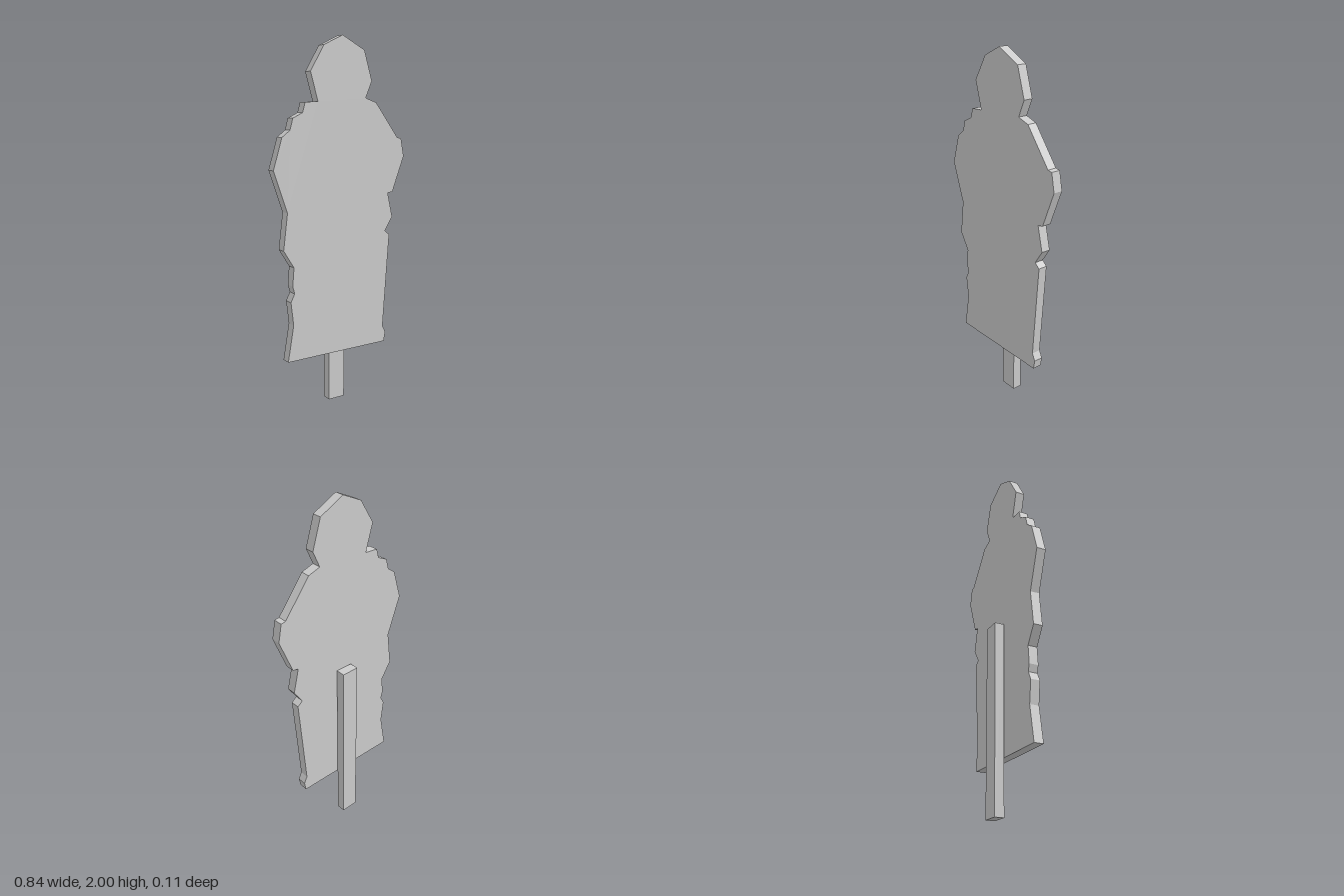
import * as THREE from 'three';

const material = new THREE.MeshStandardMaterial({ color: 0xcccccc, flatShading: true });

// Outline of the figure, clockwise from the top of the head
const outline = [
  [0, 2], [0.14, 1.93], [0.19, 1.77], [0.15, 1.68],            // head, left side
  [0.22, 1.657], [0.37, 1.465], [0.397, 1.46], [0.417, 1.36],  // shoulder and elbow
  [0.34, 1.163], [0.307, 1.158], [0.34, 1.02], [0.29, 0.945],  // forearm and cuff
  [0.32, 0.92], [0.28, 0.39], [0.3, 0.35], [0.29, 0.297],      // coat, left edge
  [-0.345, 0.297], [-0.31, 0.495], [-0.325, 0.62], [-0.302, 0.665],
  [-0.313, 0.705], [-0.305, 0.805], [-0.365, 0.9], [-0.34, 1.095], // coat, right edge
  [-0.418, 1.315], [-0.367, 1.48], [-0.32, 1.515], [-0.303, 1.575],
  [-0.245, 1.603], [-0.23, 1.655], [-0.153, 1.66],             // right arm and shoulder
  [-0.197, 1.81], [-0.115, 1.945],                             // head, right side
];

const THICKNESS = 0.052;
const GAP = 0.003; // half the gap between board and stake

export function createModel() {
  const group = new THREE.Group();
  group.name = 'silhouetteTarget';

  // Flat cut-out board
  const shape = new THREE.Shape(outline.map(([x, y]) => new THREE.Vector2(x, y)));
  const board = new THREE.Mesh(
    new THREE.ExtrudeGeometry(shape, { depth: THICKNESS, bevelEnabled: false }), material);
  board.name = 'silhouetteBoard';
  board.position.z = GAP;

  // Square-cut post behind the board
  const height = 1.03;
  const stake = new THREE.Mesh(new THREE.BoxGeometry(0.1, height, THICKNESS), material);
  stake.name = 'supportStake';
  stake.position.set(0, height / 2, -GAP - THICKNESS / 2);

  group.add(board, stake);
  return group;
}
